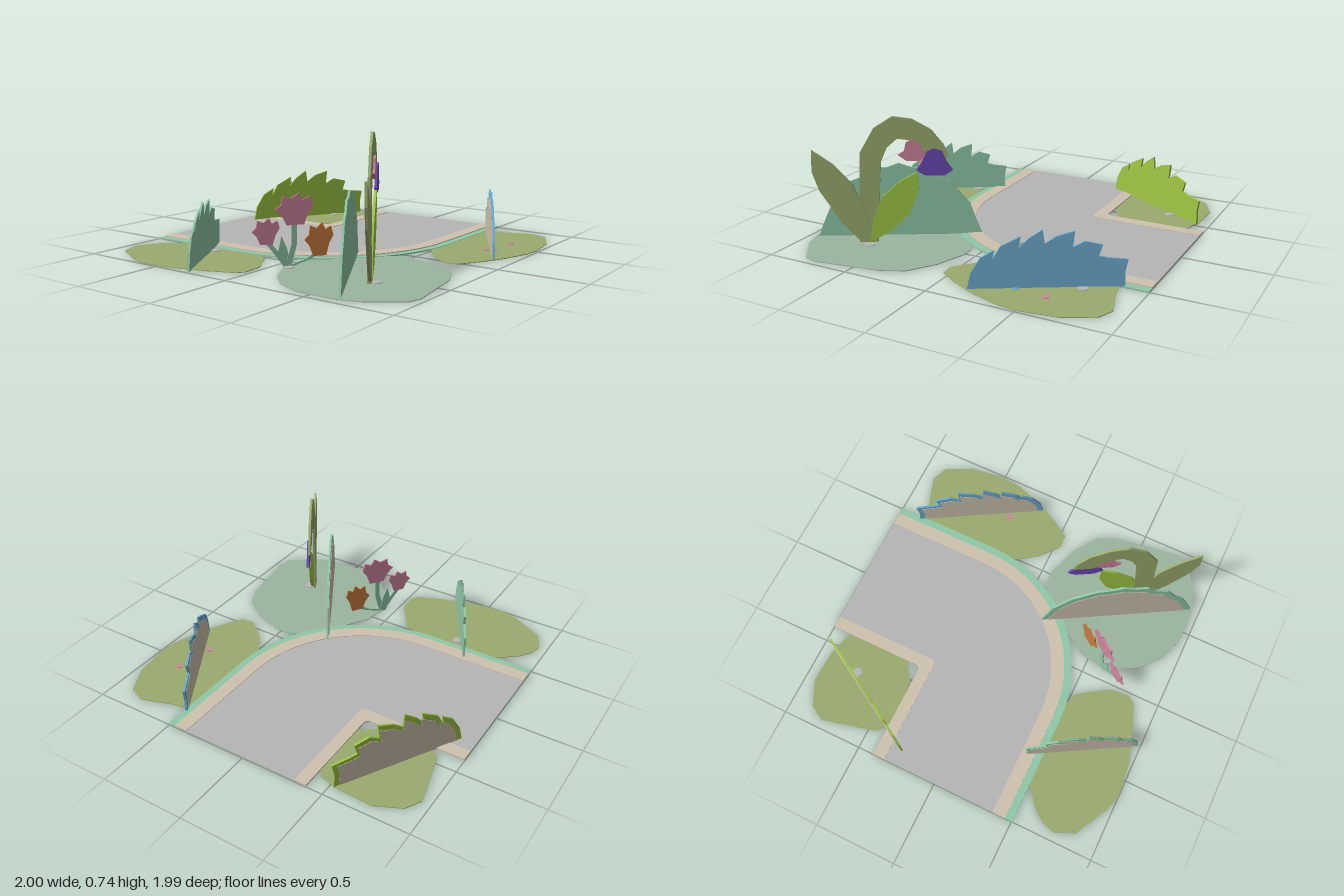
import * as THREE from 'three';

const COLORS = {
  roadGrey: 0xb6b6b6, borderBeige: 0xcfc3af, teal: 0x90c8a8, paleTeal: 0x9cb69f, olive: 0x9aab6e,
  lime: 0xa0c945, blue: 0x6cabce, pink: 0xd0859f, purple: 0x6a48b4, orange: 0xc87c3c,
};

export function createModel() {
  const model = new THREE.Group();
  model.name = 'gardenRoadCorner';
  const mats = {};
  for (const [name, color] of Object.entries(COLORS)) {
    mats[name] = new THREE.MeshStandardMaterial({ color });
    mats[name].name = name;
  }
  const shapeOf = (pts) => new THREE.Shape(pts.map(([x, y]) => new THREE.Vector2(x, y)));

  function add(parent, name, geometry, color) {
    const mesh = new THREE.Mesh(geometry, mats[color]);
    mesh.name = name;
    parent.add(mesh);
    return mesh;
  }

  // Horizontal plate from an [x, z] outline
  function slab(name, pts, y0, y1, color) {
    const g = new THREE.ExtrudeGeometry(shapeOf(pts.map(([x, z]) => [x, -z])), { depth: y1 - y0, bevelEnabled: false });
    g.rotateX(-Math.PI / 2).translate(0, y0, 0);
    return add(model, name, g, color);
  }

  // Standing cutout plate, centred on z
  function cutout(parent, name, pts, color, depth = 0.012, z = 0) {
    const g = new THREE.ExtrudeGeometry(shapeOf(pts), { depth, bevelEnabled: false });
    g.translate(0, 0, z - depth / 2);
    return add(parent, name, g, color);
  }

  function standing(name, x, z, degrees) {
    const group = new THREE.Group();
    group.name = name;
    group.position.set(x, 0.001, z);
    group.rotation.y = THREE.MathUtils.degToRad(degrees);
    model.add(group);
    return group;
  }

  // Road corner: rounded outer edge at distance a, square inner edge at b
  const C = 0.35;
  const arc = (a) => {
    const pts = [[-a, -1]];
    for (let i = 0; i <= 14; i++) {
      const t = Math.PI - (i / 14) * Math.PI / 2;
      pts.push([C + Math.cos(t) * (a + C), -C + Math.sin(t) * (a + C)]);
    }
    return [...pts, [1, a]];
  };
  const inner = (b) => [[1, -b], [b + 0.02, -b], [b, -b - 0.02], [b, -1]];
  slab('roadBase', [...arc(0.505), ...inner(0.398)], 0.001, 0.008, 'teal');
  slab('roadSurface', [...arc(0.385), ...inner(0.335)], 0, 0.01, 'roadGrey');
  slab('outerBorder', [...arc(0.46), ...arc(0.38).reverse()], 0.003, 0.013, 'borderBeige');
  slab('innerBorder', [...inner(0.33), ...inner(0.402).reverse()], 0.003, 0.013, 'borderBeige');

  // Ground patches
  slab('backRightPatch', [[-0.75, -0.95], [-0.86, -0.9], [-0.97, -0.7], [-1, -0.6], [-0.98, -0.4], [-0.92, -0.2],
    [-0.86, -0.05], [-0.82, -0.02], [-0.7, -0.03], [-0.52, -0.15], [-0.47, -0.3], [-0.48, -0.73], [-0.6, -0.88],
    [-0.67, -0.93]], 0.002, 0.006, 'olive');
  slab('backLeftPatch', [[0.4, -0.8], [0.46, -0.87], [0.78, -0.95], [0.87, -0.9], [0.94, -0.75], [0.93, -0.55],
    [0.9, -0.43], [0.86, -0.4], [0.5, -0.4], [0.42, -0.5], [0.39, -0.65]], 0.002, 0.006, 'olive');
  slab('frontRightPatch', [[-0.62, 0.07], [-0.45, 0.1], [-0.38, 0.15], [-0.12, 0.3], [-0.06, 0.45], [-0.06, 0.52],
    [-0.12, 0.7], [-0.22, 0.85], [-0.35, 0.91], [-0.48, 0.93], [-0.72, 0.97], [-0.8, 0.95], [-0.92, 0.78],
    [-0.96, 0.65], [-0.96, 0.43], [-0.9, 0.28], [-0.8, 0.17], [-0.68, 0.1]], 0.002, 0.006, 'paleTeal');
  slab('frontLeftPatch', [[0.2, 0.48], [0.84, 0.49], [0.86, 0.6], [0.92, 0.78], [0.88, 0.88], [0.72, 0.96],
    [0.52, 0.99], [0.4, 0.98], [0.22, 0.92], [0.08, 0.85], [-0.03, 0.78], [-0.04, 0.7], [0.06, 0.58]], 0.002, 0.006, 'olive');

  // Pebbles and tiny ground blossoms
  const dot = (name, x, z, r, color) =>
    add(model, name, new THREE.CylinderGeometry(r, r, 0.004, 10), color).position.set(x, 0.007, z);
  [[-0.55, -0.49], [-0.62, 0.1], [-0.6, 0.64], [0.69, 0.62], [0.73, -0.6]]
    .forEach(([x, z]) => dot('pebble', x, z, 0.03, 'roadGrey'));
  [[0.35, 0.75, 'pink'], [0.57, 0.8, 'pink'], [0.39, 0.78, 'blue']]
    .forEach(([x, z, c]) => dot('tinyBlossom', x, z, 0.02, c));

  // Bush cutouts with a beige panel on the back
  function bush(name, x, z, degrees, color, pts, sx = 1) {
    const g = standing(name, x, z, degrees);
    const outline = pts.map(([u, y]) => [u * sx, y]);
    cutout(g, 'foliage', outline, color);
    cutout(g, 'backPanel', outline.map(([u, y]) => [u * 0.92, y * 0.88 + 0.003]), 'borderBeige', 0.003, -0.007);
  }
  const leafy = [[-0.41, 0], [-0.39, 0.09], [-0.34, 0.17], [-0.27, 0.21], [-0.28, 0.16], [-0.24, 0.23], [-0.14, 0.28],
    [-0.15, 0.22], [-0.1, 0.27], [-0.03, 0.315], [-0.02, 0.24], [0.04, 0.28], [0.13, 0.305], [0.12, 0.22],
    [0.18, 0.25], [0.27, 0.23], [0.25, 0.17], [0.3, 0.16], [0.4, 0.15], [0.385, 0.08], [0.39, 0]];
  const dome = [[-0.47, 0], [-0.43, 0.1], [-0.39, 0.19], [-0.33, 0.25], [-0.28, 0.33], [-0.2, 0.36], [-0.15, 0.41],
    [-0.07, 0.41], [0, 0.435], [0.07, 0.41], [0.15, 0.4], [0.22, 0.36], [0.29, 0.32], [0.35, 0.25], [0.4, 0.19],
    [0.43, 0.1], [0.47, 0]];
  bush('blueBush', 0.53, 0.685, 30, 'blue', leafy);
  bush('tealBush', -0.69, -0.44, 30, 'teal', leafy, 0.83);
  bush('limeBush', 0.6, -0.71, -30, 'lime', leafy, 0.97);
  bush('roundBush', -0.535, 0.43, 30, 'teal', dome);

  // Drooping bellflower; points are given as world x, then unprojected onto the turned plane
  const plant = standing('bellflower', -0.54, 0.565, 30);
  const flat = (pts) => pts.map(([x, y]) => [(x + 0.54) / 0.866, y]);
  cutout(plant, 'archedStem', flat([[-0.58, 0.01], [-0.56, 0.35], [-0.55, 0.48], [-0.52, 0.56], [-0.47, 0.61],
    [-0.41, 0.6], [-0.36, 0.56], [-0.33, 0.5], [-0.23, 0.5], [-0.25, 0.57], [-0.31, 0.66], [-0.4, 0.72],
    [-0.49, 0.735], [-0.58, 0.67], [-0.65, 0.53], [-0.66, 0.3], [-0.67, 0.01]]), 'olive', 0.014);
  cutout(plant, 'tallLeaf', flat([[-0.66, 0.01], [-0.75, 0.13], [-0.85, 0.32], [-0.88, 0.43], [-0.875, 0.55],
    [-0.78, 0.47], [-0.69, 0.35], [-0.63, 0.17], [-0.6, 0.01]]), 'olive', 0.014, 0.006);
  cutout(plant, 'limeLeaf', flat([[-0.62, 0.01], [-0.6, 0.14], [-0.55, 0.28], [-0.46, 0.37], [-0.38, 0.42],
    [-0.375, 0.32], [-0.42, 0.18], [-0.52, 0.07]]), 'lime', 0.014, 0.01);
  cutout(plant, 'pinkBell', flat([[-0.43, 0.59], [-0.4, 0.605], [-0.37, 0.59], [-0.35, 0.54], [-0.33, 0.51],
    [-0.37, 0.485], [-0.43, 0.485], [-0.47, 0.52], [-0.44, 0.54]]), 'pink', 0.014, 0.006);
  cutout(plant, 'purpleBell', flat([[-0.33, 0.54], [-0.3, 0.555], [-0.26, 0.54], [-0.24, 0.48], [-0.21, 0.43],
    [-0.25, 0.4], [-0.34, 0.4], [-0.385, 0.43], [-0.36, 0.47]]), 'purple', 0.014, 0.01);

  // Three small tulips behind the round bush
  const tulips = standing('tulips', -0.58, 0.095, 145);
  const bloom = [[-0.25, -0.5], [-0.35, -0.15], [-0.5, 0.1], [-0.42, 0.38], [-0.22, 0.28], [-0.12, 0.5], [0.08, 0.33],
    [0.3, 0.42], [0.34, 0.15], [0.5, 0], [0.32, -0.2], [0.2, -0.5]];
  [[-0.145, 0.14, 0.16, 0.18, 'orange'], [-0.01, 0.31, 0.21, 0.17, 'pink'], [0.145, 0.2, 0.15, 0.14, 'pink']]
    .forEach(([u, y, w, h, color]) => {
      cutout(tulips, 'bloom', bloom.map(([a, b]) => [u + a * w, y + b * h]), color, 0.01);
      const top = y - h * 0.35;
      cutout(tulips, 'stem', [[0.01, 0], [0.045, 0], [0.03 + (u - 0.03) * 0.6, top * 0.5], [u + 0.015, top],
        [u - 0.015, top], [(u - 0.03) * 0.6, top * 0.5]], 'teal', 0.008);
    });
  cutout(tulips, 'tulipLeaf', [[0.01, 0], [0.05, 0], [0.08, 0.08], [0.06, 0.17], [0.03, 0.1]], 'teal', 0.008, 0.004);
  return model;
}
